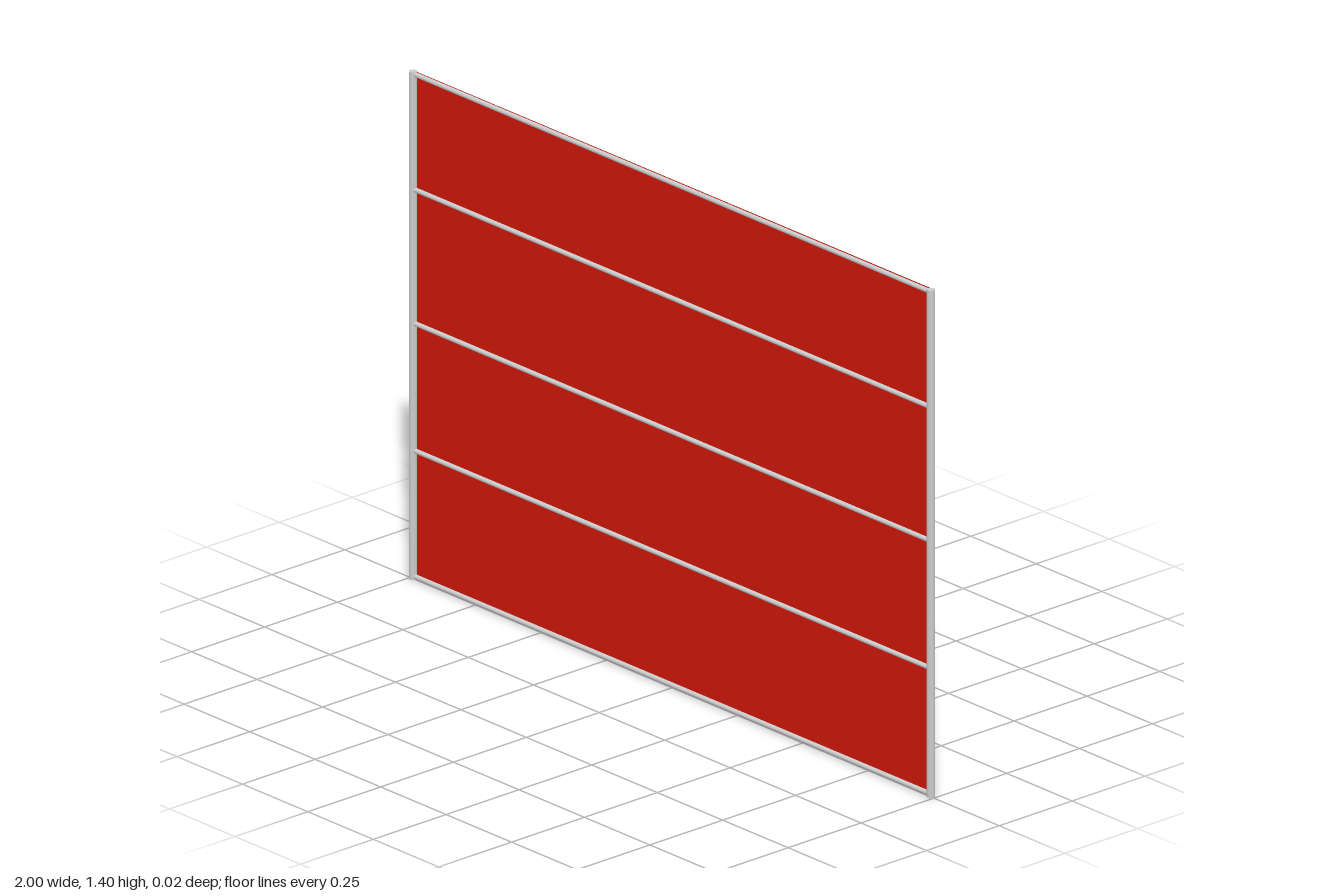
import * as THREE from 'three';

const HEIGHT = 1.4;
const POST_X = 0.989;

export function createModel() {
  const model = new THREE.Group();
  const grey = new THREE.MeshStandardMaterial({ color: 0xcccccc });
  const red = new THREE.MeshStandardMaterial({ color: 0xd0170a, side: THREE.DoubleSide });

  function addTube(name, radius, length, x, y, horizontal) {
    const tube = new THREE.Mesh(new THREE.CylinderGeometry(radius, radius, length, 16), grey);
    tube.name = name;
    tube.position.set(x, y, 0);
    if (horizontal) tube.rotation.z = Math.PI / 2;
    model.add(tube);
  }

  // Upright posts at both ends
  addTube('leftPost', 0.011, HEIGHT, POST_X, HEIGHT / 2, false);
  addTube('rightPost', 0.011, HEIGHT, -POST_X, HEIGHT / 2, false);

  // Horizontal rails between the posts
  const rails = { bottomRail: 0.008, lowerRail: 0.355, middleRail: 0.706, upperRail: 1.075, topRail: 1.393 };
  for (const [name, y] of Object.entries(rails)) addTube(name, 0.0065, POST_X * 2, 0, y, true);

  // Thin sheet, slightly tilted so that it emerges behind the rails toward one lower corner
  const sheet = new THREE.PlaneGeometry(POST_X * 2, HEIGHT);
  sheet.translate(0, HEIGHT / 2, 0);
  const p = sheet.attributes.position;
  for (let i = 0; i < p.count; i++) {
    const slope = (p.getY(i) - 0.705) * 1.71 - (p.getX(i) - 0.645);
    p.setZ(i, -0.0065 + 0.001 * slope);
  }
  sheet.computeVertexNormals();
  const panel = new THREE.Mesh(sheet, red);
  panel.name = 'panel';
  model.add(panel);

  return model;
}
